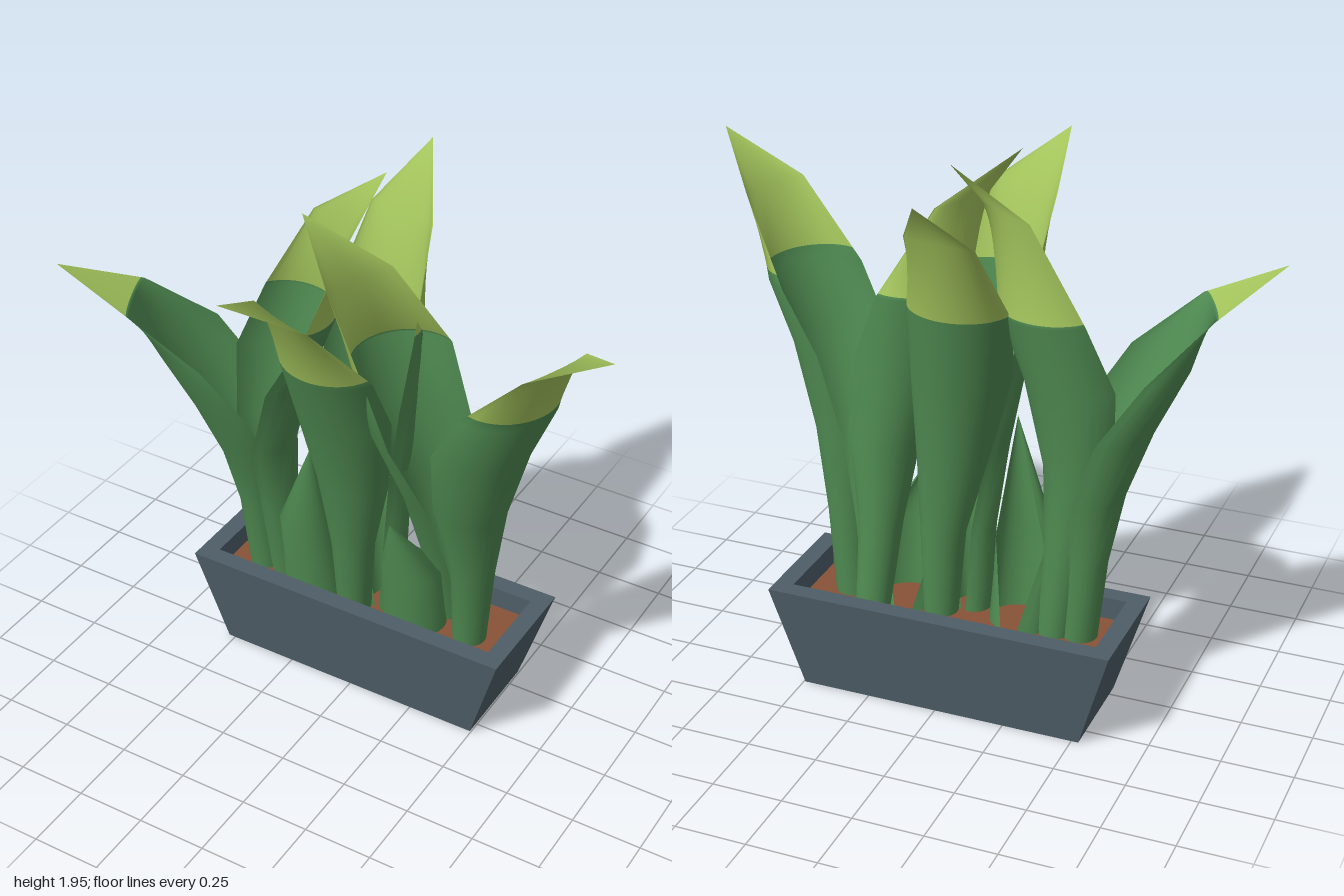
import * as THREE from 'three';

const TIP_Y = 1.45; // height above which leaves turn lime
const COLS = 20;

const mat = (name, color, side = THREE.FrontSide) => {
  const m = new THREE.MeshStandardMaterial({ color, side });
  m.name = name;
  return m;
};

// Leaf sections from base to tip: [half width, half depth, arc half angle]
const TALL = [
  [0.06, 0.06, 3.0], [0.08, 0.075, 2.6], [0.13, 0.125, 2.1],
  [0.175, 0.185, 1.75], [0.187, 0.175, 1.57], [0.142, 0.015, 1.2], [0, 0, 1],
];
const SHORT = [[0.115, 0.1, 2.9], [0.11, 0.09, 2.1], [0, 0, 1]];

// A leaf is a tube that opens into a channel and closes to a point.
// rib: outermost point of each section; a0, a1: facing angle (0 = +z, 90 = +x) at base and tip.
function leafGeometry(rib, sections, a0, a1) {
  const last = rib.length - 1;
  const rows = rib.map(([x, y, z], i) => {
    const [s, o, a] = sections[i];
    const t = THREE.MathUtils.degToRad(a0 + (a1 - a0) * Math.min(1, i / (last - 1)));
    const ox = Math.sin(t), oz = Math.cos(t);
    return Array.from({ length: COLS + 1 }, (_, j) => {
      const p = a * (2 * j / COLS - 1);
      const u = s * Math.sin(p), v = o * (Math.cos(p) - 1);
      return new THREE.Vector3(x + oz * u + ox * v, y, z - ox * u + oz * v);
    });
  });

  // Extra row where the colour changes
  const k = rows.findIndex((r) => r[0].y > TIP_Y);
  if (k > 0) {
    const f = (TIP_Y - rows[k - 1][0].y) / (rows[k][0].y - rows[k - 1][0].y);
    rows.splice(k, 0, rows[k].map((p, j) => rows[k - 1][j].clone().lerp(p, f)));
  }

  const index = [];
  const n = COLS + 1;
  let split = -1;
  for (let i = 0; i < rows.length - 1; i++) {
    if (i === k) split = index.length;
    for (let j = 0; j < COLS; j++) {
      const a = i * n + j, c = a + n;
      index.push(a, a + 1, c + 1);
      if (i < rows.length - 2) index.push(a, c + 1, c);
    }
  }
  const g = new THREE.BufferGeometry().setFromPoints(rows.flat());
  g.setIndex(index);
  g.computeVertexNormals();
  if (split < 0) split = index.length;
  g.addGroup(0, split, 0);
  if (split < index.length) g.addGroup(split, index.length - split, 1);
  return g;
}

// Rectangular loops [x0, x1, z0, z1, y] joined into a hollow, flat sided box
function potGeometry(loops) {
  const pts = [], index = [];
  loops.forEach(([x0, x1, z0, z1, y]) => pts.push(
    new THREE.Vector3(x0, y, z1), new THREE.Vector3(x1, y, z1),
    new THREE.Vector3(x1, y, z0), new THREE.Vector3(x0, y, z0)));
  for (let i = 0; i < loops.length - 1; i++) {
    for (let j = 0; j < 4; j++) {
      const a = i * 4 + j, b = i * 4 + (j + 1) % 4;
      index.push(a, b, b + 4, a, b + 4, a + 4);
    }
  }
  index.push(0, 2, 1, 0, 3, 2); // underside
  const g = new THREE.BufferGeometry().setFromPoints(pts);
  g.setIndex(index);
  const flat = g.toNonIndexed();
  flat.computeVertexNormals();
  return flat;
}

export function createModel() {
  const group = new THREE.Group();
  group.name = 'pottedPlant';
  const green = mat('leafGreen', 0x4f8a51, THREE.DoubleSide);
  const lime = mat('leafTipLime', 0xa3c45c, THREE.DoubleSide);
  const slate = mat('potSlate', 0x4e5e67);
  const brown = mat('soilBrown', 0x875237);

  const add = (name, geometry, material) => {
    const m = new THREE.Mesh(geometry, material);
    m.name = name;
    group.add(m);
    return m;
  };

  // Planter and soil
  add('pot', potGeometry([
    [-0.525, 0.495, -0.325, 0.045, 0],
    [-0.635, 0.605, -0.365, 0.085, 0.37],
    [-0.57, 0.54, -0.3, 0.02, 0.37],
    [-0.57, 0.54, -0.3, 0.02, 0.28],
  ]), slate);
  const soil = add('soil', new THREE.PlaneGeometry(1.11, 0.32).rotateX(-Math.PI / 2), brown);
  soil.position.set(-0.015, 0.29, -0.14);

  const leaf = (name, a0, a1, sections, rib) =>
    add(name, leafGeometry(rib, sections, a0, a1), [green, lime]);

  // Leaves curling away from the pot
  leaf('rightLeaf', -66, -66, TALL, [
    [-0.505, 0.28, -0.09], [-0.53, 0.58, -0.07], [-0.57, 0.82, -0.03],
    [-0.645, 1.05, 0.03], [-0.74, 1.26, 0.085], [-0.785, 1.445, 0.145], [-1, 1.575, 0.27]]);
  leaf('leftLeaf', 70, 70, TALL, [
    [0.455, 0.28, -0.09], [0.48, 0.6, -0.07], [0.53, 0.9, -0.01],
    [0.62, 1.2, 0.045], [0.705, 1.41, 0.065], [0.775, 1.67, 0.12], [1, 1.82, 0.215]]);
  leaf('frontLeaf', -19, -19, TALL, [
    [-0.06, 0.28, 0], [-0.05, 0.6, 0.05], [-0.055, 0.9, 0.11],
    [-0.075, 1.2, 0.19], [-0.075, 1.43, 0.27], [-0.07, 1.705, 0.355], [-0.14, 1.85, 0.58]]);
  leaf('backLeaf', 170, 170, TALL, [
    [0.065, 0.28, -0.19], [0.06, 0.6, -0.2], [0.04, 0.9, -0.22],
    [0.02, 1.2, -0.265], [0, 1.43, -0.31], [-0.045, 1.735, -0.38], [-0.05, 1.92, -0.58]]);

  // Leaves curling across the middle
  leaf('innerRightLeaf', 130, 146, TALL, [
    [-0.315, 0.28, -0.16], [-0.335, 0.6, -0.15], [-0.335, 0.9, -0.15],
    [-0.275, 1.2, -0.16], [-0.205, 1.44, -0.19], [-0.165, 1.77, -0.13], [-0.03, 1.95, -0.24]]);
  leaf('innerLeftLeaf', 246, 248, TALL, [
    [0.225, 0.28, -0.235], [0.205, 0.6, -0.17], [0.165, 0.9, -0.13],
    [0.095, 1.2, -0.06], [0.03, 1.44, -0.065], [0.04, 1.73, 0.055], [-0.15, 1.92, 0.08]]);

  // Young leaves
  leaf('youngRightLeaf', -8, -8, SHORT, [
    [-0.245, 0.28, 0], [-0.245, 0.59, 0.03], [-0.155, 0.99, 0.05]]);
  leaf('youngLeftLeaf', 8, 8, SHORT, [
    [0.2, 0.28, 0], [0.2, 0.55, 0.03], [0.16, 0.79, 0.05]]);

  return group;
}
